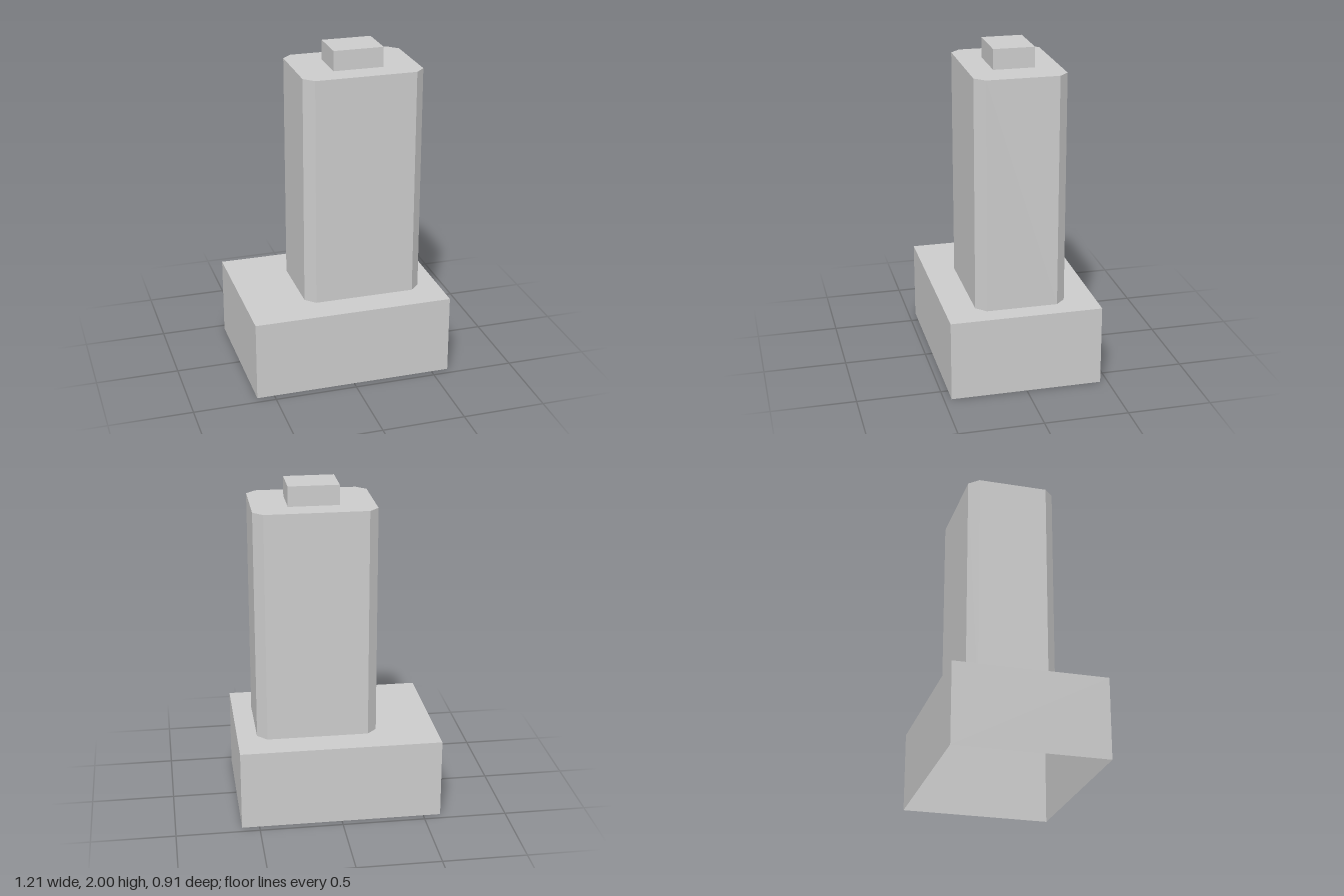
import * as THREE from 'three';

export function createModel() {
  const model = new THREE.Group();
  const grey = new THREE.MeshStandardMaterial({ color: 0xcccccc, side: THREE.DoubleSide });
  grey.name = 'grey';

  function add(name, geometry, x, y) {
    const mesh = new THREE.Mesh(geometry, grey);
    mesh.name = name;
    mesh.position.set(x, y, 0);
    model.add(mesh);
  }

  // Base: a hollow box, open underneath (the downward side is dropped)
  const base = new THREE.BoxGeometry(1.21, 0.485, 0.91);
  const index = Array.from(base.index.array);
  index.splice(18, 6);
  base.setIndex(index);
  base.clearGroups();
  add('base', base, 0, 0.2425);

  // Tower: a rectangular block with chamfered upright corners
  const w = 0.363, d = 0.271, c = 0.058;
  const outline = [
    [w, c - d], [w, d - c], [w - c, d], [c - w, d],
    [-w, d - c], [-w, c - d], [c - w, -d], [w - c, -d],
  ].map(([x, z]) => new THREE.Vector2(x, z));
  const tower = new THREE.ExtrudeGeometry(new THREE.Shape(outline), { depth: 1.395, bevelEnabled: false });
  tower.rotateX(-Math.PI / 2);
  add('tower', tower, 0.121, 0.485);

  // Small block on the tower's roof
  add('roofBlock', new THREE.BoxGeometry(0.302, 0.12, 0.244), 0.12, 1.94);

  return model;
}
